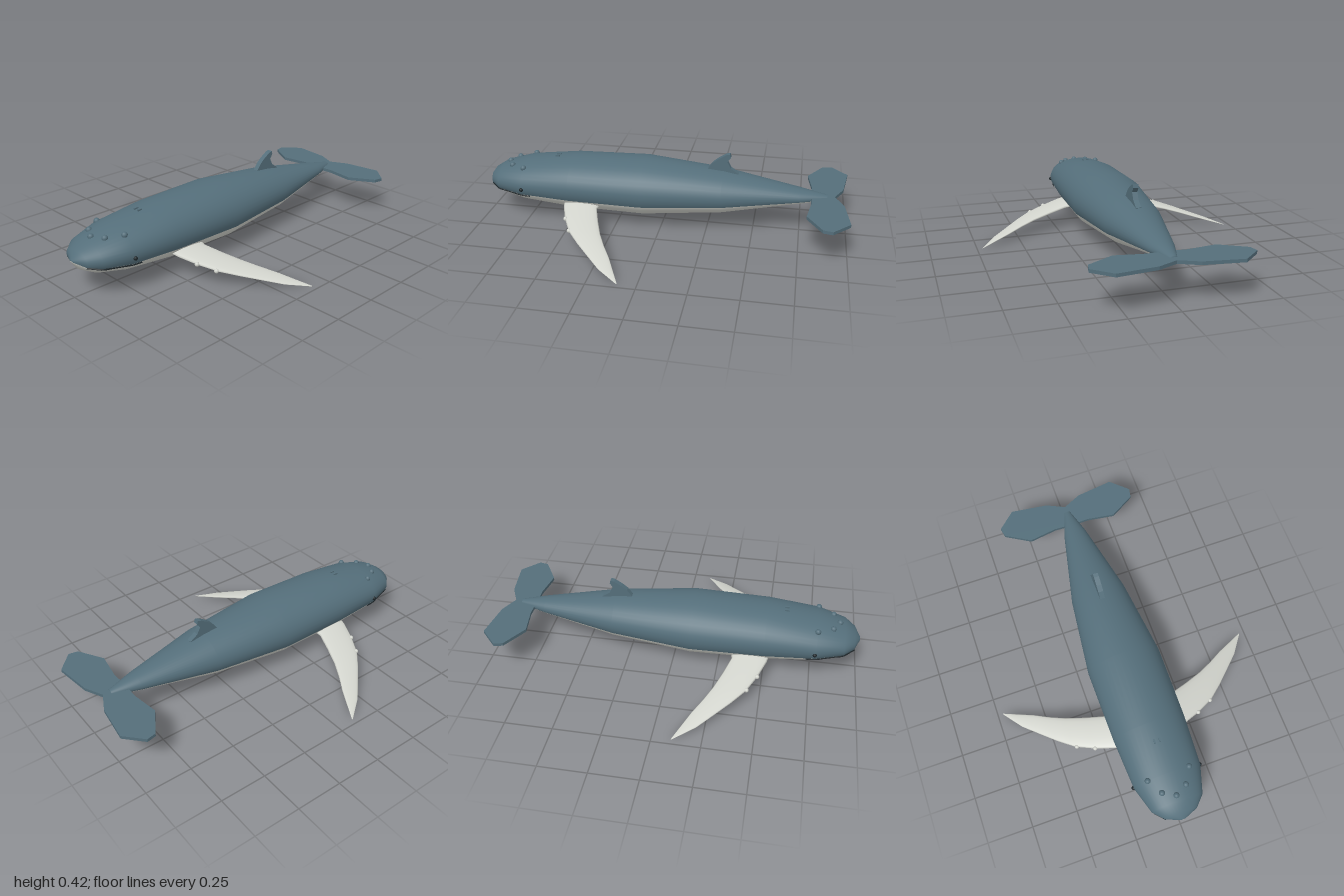
import * as THREE from 'three';

const slate = new THREE.MeshStandardMaterial({ color: 0x546e7a });
slate.name = 'slate skin';
const pale = new THREE.MeshStandardMaterial({ color: 0xd2d4cd });
pale.name = 'pale belly';
const dark = new THREE.MeshStandardMaterial({ color: 0x1c2529 });
dark.name = 'dark lines';

// body stations: z, half width, bottom, widest height, top
const STATIONS = [
  [1.0, 0.012, 0.19, 0.197, 0.205], [0.97, 0.088, 0.15, 0.2, 0.245], [0.915, 0.14, 0.122, 0.203, 0.28],
  [0.77, 0.185, 0.09, 0.207, 0.321], [0.5, 0.2, 0.061, 0.21, 0.355], [0.1, 0.205, 0.053, 0.21, 0.366],
  [-0.33, 0.155, 0.094, 0.21, 0.326], [-0.74, 0.065, 0.172, 0.21, 0.253], [-0.885, 0.02, 0.195, 0.21, 0.226],
];
const SEAM = 0.37; // angle of the belly line below the widest height

// point on the skin at length z and angle a
function skin(z, a) {
  let i = 0;
  while (i < STATIONS.length - 2 && z < STATIONS[i + 1][0]) i++;
  const p = STATIONS[i], q = STATIONS[i + 1];
  const t = (z - p[0]) / (q[0] - p[0]);
  const [, w, bottom, mid, top] = p.map((v, k) => v + (q[k] - v) * t);
  const s = Math.sin(a);
  return new THREE.Vector3(Math.cos(a) * w, mid + s * (s > 0 ? top - mid : mid - bottom), z);
}

// closed rings joined in order, with both ends capped; split = first column of the second material
function loft(rings, split) {
  const n = rings[0].length, pos = [], idx = [[], []];
  const centre = (r) => r.reduce((s, p) => s.add(p), new THREE.Vector3()).divideScalar(n);
  rings.flat().forEach((p) => pos.push(p.x, p.y, p.z));
  const first = rings.length * n, last = first + 1, end = (rings.length - 1) * n;
  [rings[0], rings[rings.length - 1]].forEach((r) => pos.push(...centre(r).toArray()));
  for (let j = 0; j < n; j++) {
    const k = (j + 1) % n, out = idx[j < split ? 0 : 1];
    for (let i = 0; i < end; i += n) out.push(i + j, i + n + j, i + k, i + k, i + n + j, i + n + k);
    out.push(first, j, k, last, end + k, end + j);
  }
  const g = new THREE.BufferGeometry();
  g.setAttribute('position', new THREE.Float32BufferAttribute(pos, 3));
  g.setIndex([...idx[0], ...idx[1]]);
  g.addGroup(0, idx[0].length, 0);
  g.addGroup(idx[0].length, idx[1].length, 1);
  g.computeVertexNormals();
  return g;
}

function add(parent, name, geometry, material) {
  const mesh = new THREE.Mesh(geometry, material);
  mesh.name = name;
  parent.add(mesh);
  return mesh;
}

function bump(parent, name, p, r, material) {
  add(parent, name, new THREE.SphereGeometry(r, 12, 8), material).position.copy(p);
}

function plate(points, depth) {
  const shape = new THREE.Shape(points.map(([x, y]) => new THREE.Vector2(x, y)));
  return new THREE.ExtrudeGeometry(shape, { depth, bevelEnabled: false }).translate(0, 0, -depth / 2);
}

function makeBody(group) {
  const angles = [];
  for (let j = 0; j < 24; j++) angles.push(-SEAM + (j / 24) * (Math.PI + 2 * SEAM));
  for (let j = 0; j < 14; j++) angles.push(Math.PI + SEAM + (j / 14) * (Math.PI - 2 * SEAM));
  const rings = STATIONS.map(([z]) => angles.map((a) => skin(z, a)));
  add(group, 'body', loft(rings, 24), [slate, pale]);
}

// flipper sections: x, leading z, trailing z, middle y, thickness
const FLIPPER = [
  [0.13, 0.535, 0.32, 0.14, 0.036], [0.2, 0.52, 0.333, 0.127, 0.034], [0.3, 0.483, 0.3, 0.107, 0.03],
  [0.4, 0.432, 0.262, 0.087, 0.026], [0.48, 0.365, 0.222, 0.068, 0.021], [0.56, 0.289, 0.175, 0.047, 0.017],
  [0.64, 0.212, 0.136, 0.026, 0.012], [0.72, 0.103, 0.097, 0.005, 0.003],
];

function makeFlipper(side) {
  const flipper = new THREE.Group();
  flipper.name = side > 0 ? 'leftFlipper' : 'rightFlipper';
  const rings = FLIPPER.map(([x, lead, trail, y, thick]) => Array.from({ length: 16 }, (_, j) => {
    const a = (j / 16) * Math.PI * 2;
    return new THREE.Vector3(side * x, y + side * Math.sin(a) * thick / 2,
      (lead + trail) / 2 + Math.cos(a) * (lead - trail) / 2);
  }));
  add(flipper, 'flipperBlade', loft(rings, 16), pale);
  // knobs on the leading edge
  for (const [x, y, z] of [[0.3, 0.106, 0.48], [0.39, 0.086, 0.434]]) {
    bump(flipper, 'flipperKnob', new THREE.Vector3(side * x, y, z), 0.012, pale);
  }
  return flipper;
}

export function createModel() {
  const model = new THREE.Group();
  model.name = 'whale';
  makeBody(model);

  // dorsal fin
  const dorsal = [[0.23, 0.31], [0.244, 0.335], [0.27, 0.37], [0.3, 0.394], [0.34, 0.419], [0.36, 0.424],
    [0.365, 0.405], [0.347, 0.38], [0.367, 0.343], [0.41, 0.314], [0.4, 0.29]];
  add(model, 'dorsalFin', plate(dorsal, 0.028).rotateY(Math.PI / 2), slate);

  // tail flukes
  const half = [[0.1, -0.973], [0.305, -1.0], [0.4, -0.912], [0.39, -0.862], [0.254, -0.781], [0.1, -0.804]];
  const outline = [[0, -0.925], ...half, [0, -0.8], ...half.map(([x, z]) => [-x, z]).reverse()];
  const flukes = plate(outline.map(([x, z]) => [x, -z]), 0.017).rotateX(-Math.PI / 2);
  add(model, 'tailFlukes', flukes, slate).position.y = 0.209;

  // knobs along the middle of the head
  bump(model, 'headKnob', skin(0.885, Math.PI / 2), 0.016, slate);

  for (const side of [1, -1]) {
    const mirror = (p) => p.setX(p.x * side);
    model.add(makeFlipper(side));

    for (const [x, z] of [[0.065, 0.85], [0.113, 0.77]]) {
      const w = skin(z, 0).x;
      bump(model, 'headKnob', mirror(skin(z, Math.acos(x / w))), 0.016, slate);
    }
    bump(model, 'eye', mirror(skin(0.765, -0.08)), 0.011, dark);

    // blowhole
    const hole = add(model, 'blowhole', new THREE.BoxGeometry(0.009, 0.01, 0.024), slate);
    hole.position.set(side * 0.014, skin(0.6, Math.PI / 2).y + 0.002, 0.6);

    // mouth line
    const path = [0.97, 0.945, 0.915, 0.87, 0.82, 0.77, 0.72].map((z) => mirror(skin(z, -0.42)));
    add(model, 'mouthLine', new THREE.TubeGeometry(new THREE.CatmullRomCurve3(path), 24, 0.005, 6), dark);
  }
  return model;
}
